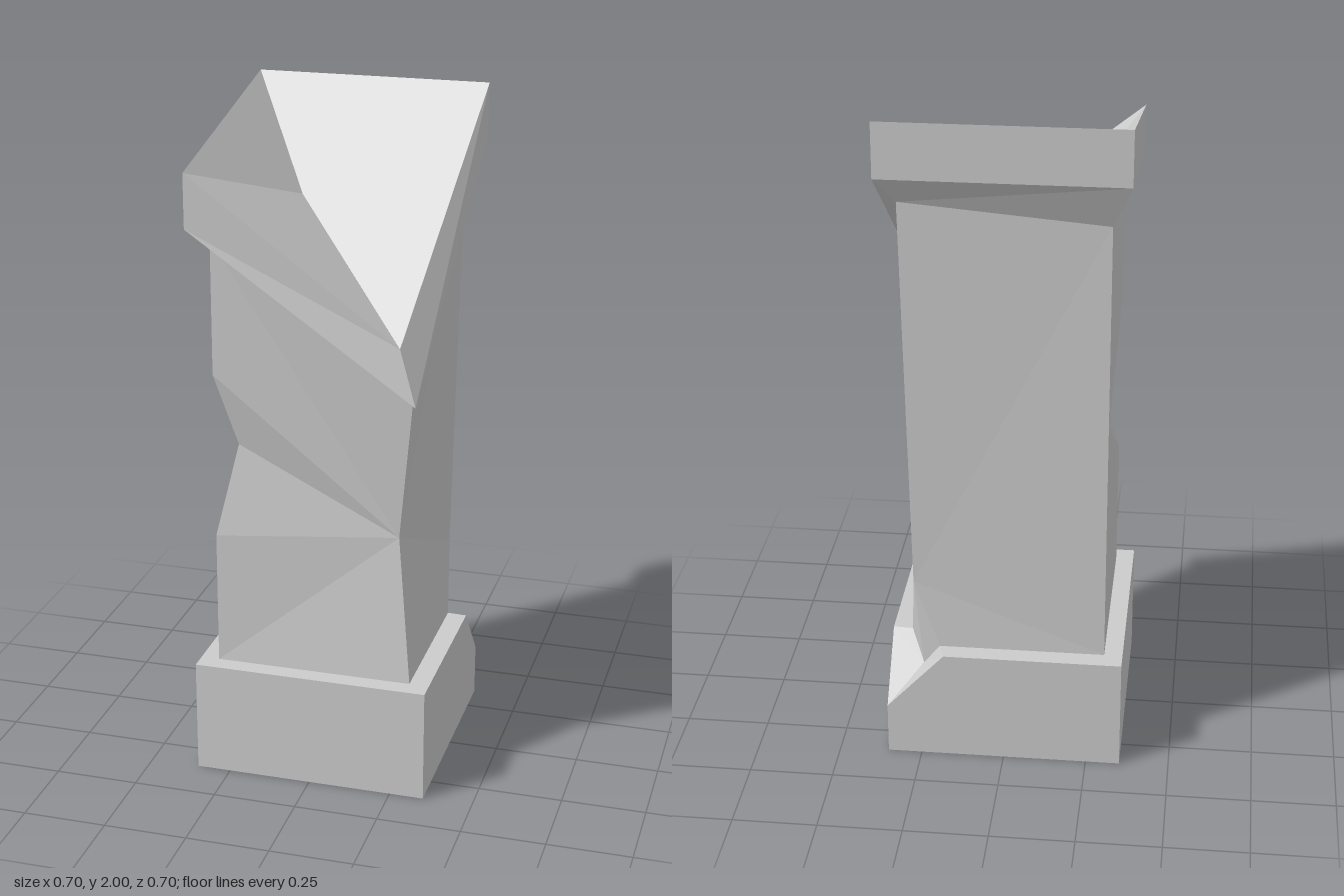
import * as THREE from 'three';

const material = new THREE.MeshStandardMaterial({ color: 0xcccccc, flatShading: true });

// Faceted mesh from named corners; each face is a string of corner names, fanned from its first
function facetMesh(name, points, faces) {
  const positions = [];
  for (const face of faces) {
    const c = face.split(' ').map((key) => points[key]);
    for (let i = 1; i < c.length - 1; i++) positions.push(...c[0], ...c[i], ...c[i + 1]);
  }
  const geometry = new THREE.BufferGeometry();
  geometry.setAttribute('position', new THREE.Float32BufferAttribute(positions, 3));
  geometry.computeVertexNormals();
  const mesh = new THREE.Mesh(geometry, material);
  mesh.name = name;
  return mesh;
}

const W = 0.352; // half width of plinth and cap
const C = 0.297; // half width of shaft
const H = 0.345; // plinth height

// Corners of the chip shared by plinth and shaft
const chip = {
  chipRight: [0.293, H, -0.2],
  chipDeep: [0.25, 0.27, -0.27],
  chipBack: [0.197, H, -0.293],
};

// Top of the shaft, where the cap starts to flare out
const neck = {
  neckFL: [-C, 1.65, C],
  neckFR: [0.293, 1.22, C],
  neckBR: [C, 1.755, -0.293],
  neckBL: [-C, 1.705, -0.293],
};

// Square plinth with its back corner broken off
function plinth() {
  const points = {
    ...chip,
    FL0: [-W, 0, W], FR0: [W, 0, W], BR0: [W, 0, -W], BL0: [-W, 0, -W],
    FL: [-W, H, W], FR: [W, H, W], BL: [-W, H, -W],
    cutRight: [W, H, -0.197], cutLow: [W, 0.16, -W], cutBack: [0.18, H, -W],
  };
  return facetMesh('plinth', points, [
    'FL0 BL0 BR0 FR0',
    'FL0 FR0 FR FL',
    'BL0 FL0 FL BL',
    'FR0 BR0 cutLow cutRight FR',
    'BR0 BL0 BL cutBack cutLow',
    'FL FR cutRight chipRight chipBack cutBack BL',
    'cutRight cutLow chipDeep',
    'cutLow cutBack chipDeep',
    'cutRight chipDeep chipRight',
    'chipDeep cutBack chipBack',
  ]);
}

// Square shaft with worn front edges and a chipped foot
function shaft() {
  const points = {
    ...chip, ...neck,
    FL: [-C, H, C], FR: [0.293, H, C], BL: [-C, H, -0.293],
    notchLow: [-C, 0.75, C], notch: [-0.235, 1.03, 0.257], notchHigh: [-C, 1.25, C],
    wornFR: [0.247, 0.79, 0.255],
    chipTop: [0.275, 0.555, -0.28],
    midBL: [-C, 1.1, -0.293],
  };
  return facetMesh('shaft', points, [
    // front
    'FL FR wornFR notchLow',
    'notchLow wornFR notch',
    'notch wornFR notchHigh',
    'wornFR neckFR neckFL notchHigh',
    // right side
    'FR chipRight chipTop wornFR',
    'wornFR chipTop neckBR neckFR',
    // chip at the foot
    'chipRight chipDeep chipTop',
    'chipDeep chipBack chipTop',
    // back
    'chipTop chipBack BL neckBL neckBR',
    // left side
    'BL FL notchLow midBL',
    'midBL notchLow notch',
    'midBL notch notchHigh',
    'midBL notchHigh neckFL neckBL',
  ]);
}

// Cap broken away on a slope, with a hollow in its top
function cap() {
  const points = {
    ...neck,
    topFL: [-W, 1.85, W], topFR: [0.255, 1.38, 0.3], topBR: [W, 2, -W], topBL: [-W, 2, -W],
    lowFL: [-W, 1.69, W], lowFR: [0.308, 1.22, 0.327], lowBR: [W, 1.838, -W], lowBL: [-W, 1.838, -W],
    hollow: [-0.147, 1.692, -0.105],
  };
  const faces = [];
  const corners = ['FL', 'FR', 'BR', 'BL'];
  corners.forEach((a, i) => {
    const b = corners[(i + 1) % 4];
    faces.push(`top${a} top${b} hollow`); // broken top
    faces.push(`low${a} low${b} top${b} top${a}`); // band
    faces.push(`neck${a} neck${b} low${b} low${a}`); // flared underside
  });
  return facetMesh('cap', points, faces);
}

export function createModel() {
  const group = new THREE.Group();
  group.name = 'brokenPillar';
  group.add(plinth(), shaft(), cap());
  return group;
}
